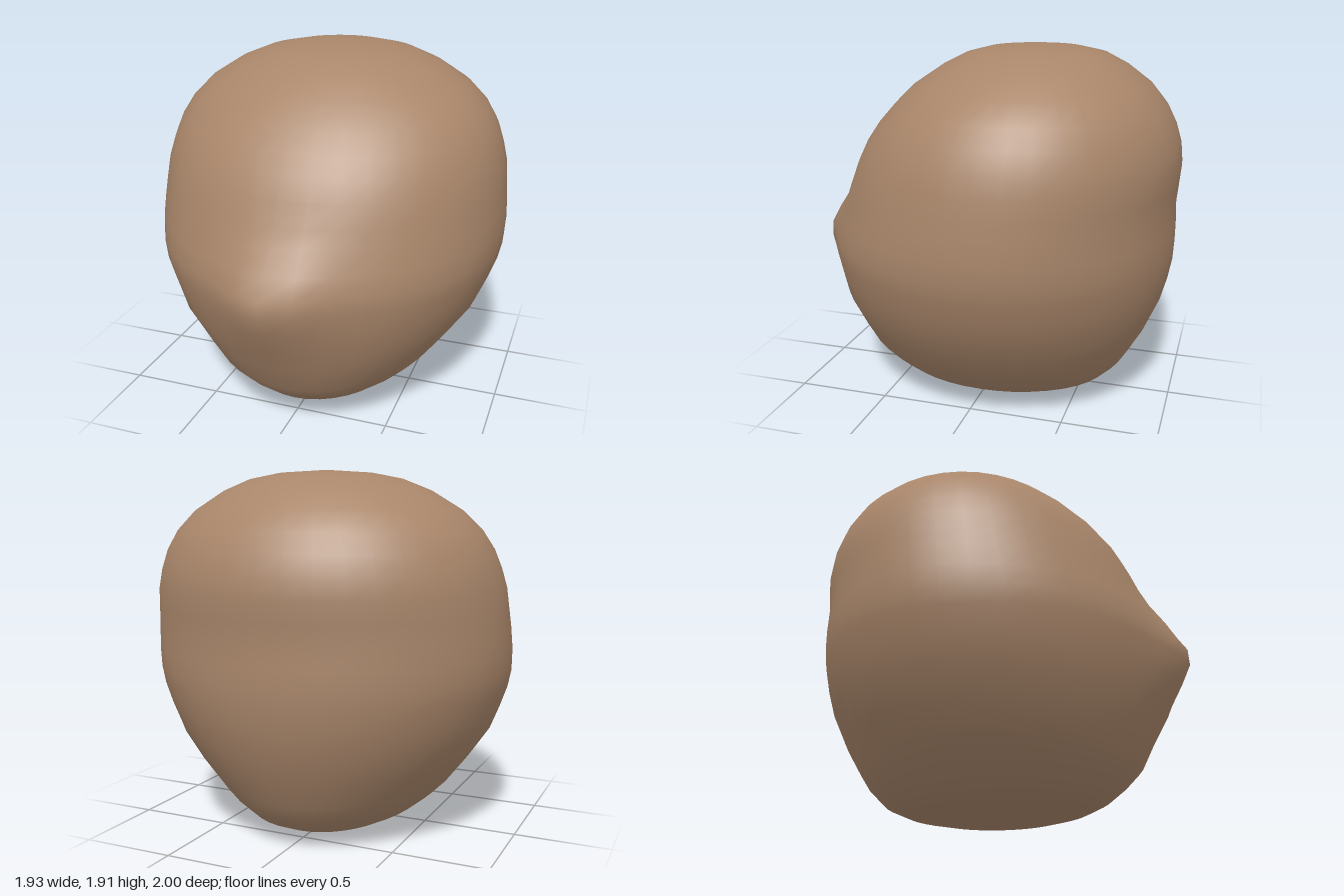
import * as THREE from 'three';

// Horizontal sections: height, half width, front z, back z, pointed snout amount
const SECTIONS = [
  [0.02, 0.27, 0.33, -0.4, 0],
  [0.05, 0.36, 0.45, -0.54, 0],
  [0.1, 0.45, 0.55, -0.65, 0],
  [0.18, 0.55, 0.645, -0.73, 0],
  [0.26, 0.63, 0.72, -0.78, 0],
  [0.4, 0.74, 0.79, -0.86, 0.01],
  [0.55, 0.845, 0.88, -0.925, 0.04],
  [0.68, 0.9, 0.95, -0.96, 0.09],
  [0.79, 0.94, 1.0, -0.98, 0.12],
  [0.88, 0.96, 0.995, -0.985, 0.12],
  [0.98, 0.965, 0.925, -0.985, 0.08],
  [1.09, 0.96, 0.835, -0.98, 0.03],
  [1.19, 0.95, 0.775, -0.99, 0],
  [1.3, 0.94, 0.73, -1.0, 0],
  [1.4, 0.915, 0.68, -0.99, 0],
  [1.5, 0.88, 0.61, -0.96, 0],
  [1.6, 0.82, 0.52, -0.91, 0],
  [1.7, 0.72, 0.42, -0.83, 0],
  [1.8, 0.56, 0.27, -0.7, 0],
  [1.86, 0.41, 0.15, -0.59, 0],
  [1.89, 0.26, 0.03, -0.46, 0],
];
const SIDES = 40;

function buildHead() {
  const pos = [], index = [];
  for (const [y, w, front, back, snout] of SECTIONS) {
    const mid = -0.03 - 0.095 * y; // the widest line leans back towards the crown
    for (let j = 0; j < SIDES; j++) {
      const a = (j / SIDES) * Math.PI * 2;
      const x = w * Math.sin(a), c = Math.cos(a);
      let z = mid + c * (c > 0 ? front - snout - mid : mid - back);
      if (c > 0) z += snout * Math.exp(-((x / 0.25) ** 2));
      pos.push(x, y, z);
    }
  }
  const last = SECTIONS.length - 1, bottom = SECTIONS.length * SIDES, top = bottom + 1;
  pos.push(0, 0, -0.03, 0, 1.91, -0.21);
  for (let j = 0; j < SIDES; j++) {
    const k = (j + 1) % SIDES;
    for (let i = 0; i < last; i++) {
      const a = i * SIDES + j, b = i * SIDES + k;
      index.push(a, b, b + SIDES, a, b + SIDES, a + SIDES);
    }
    index.push(bottom, k, j, top, last * SIDES + j, last * SIDES + k);
  }
  const geo = new THREE.BufferGeometry();
  geo.setAttribute('position', new THREE.Float32BufferAttribute(pos, 3));
  geo.setIndex(index);
  geo.computeVertexNormals();
  return geo;
}

export function createModel() {
  const group = new THREE.Group();
  const skin = new THREE.MeshStandardMaterial({ color: 0xa9866a });
  skin.name = 'warm brown';
  const head = new THREE.Mesh(buildHead(), skin);
  head.name = 'head';
  group.add(head);
  return group;
}
